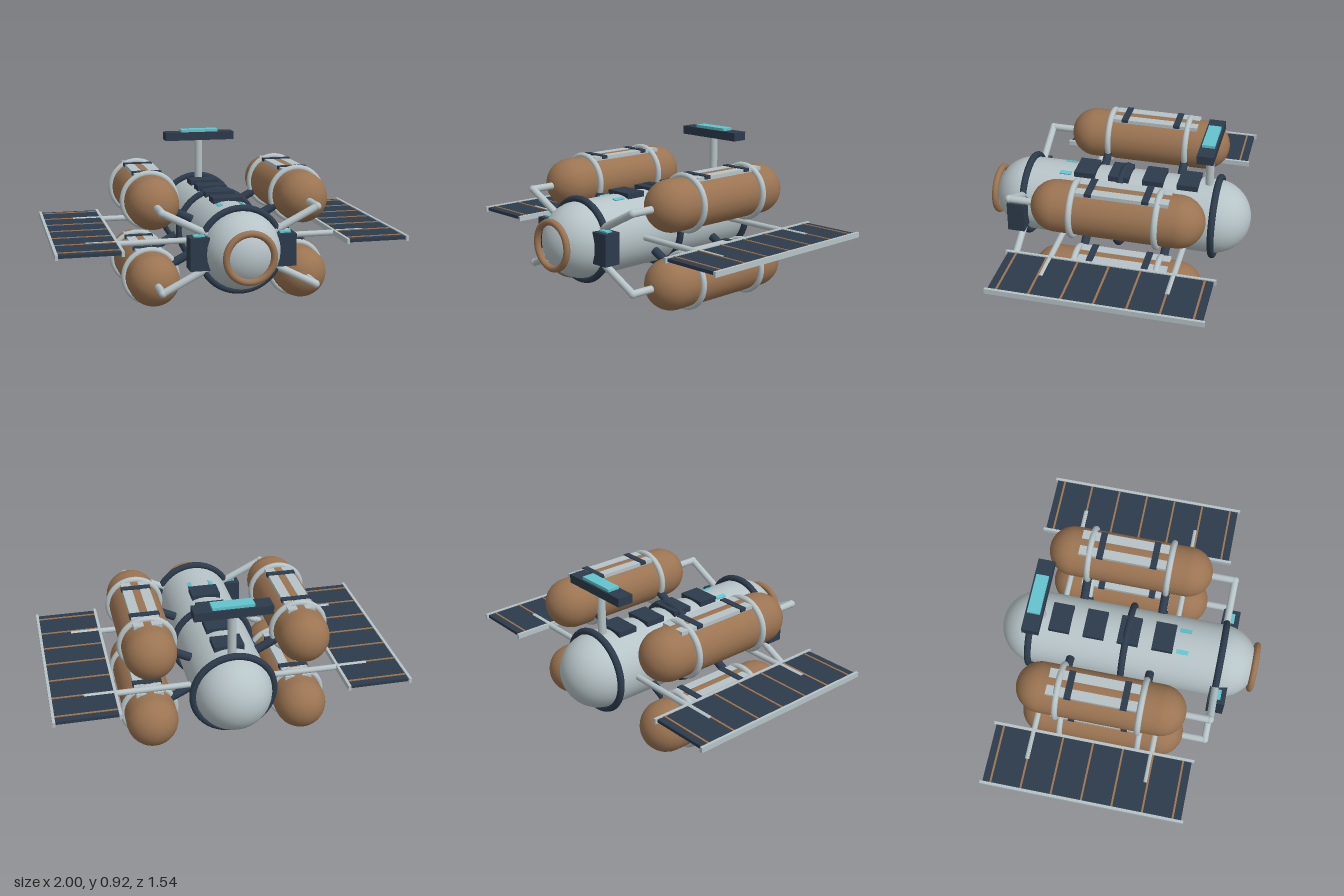
import * as THREE from 'three';

const mat = (name, color) => {
  const m = new THREE.MeshStandardMaterial({ color });
  m.name = name;
  return m;
};

export function createModel() {
  const shell = mat('paleShell', 0xb6c3c7);
  const bronze = mat('bronze', 0x9b7452);
  const navy = mat('navy', 0x2d3b4c);
  const cyan = mat('cyan', 0x62c4ce);
  const model = new THREE.Group();
  model.name = 'spaceStation';
  const V = (x, y, z) => new THREE.Vector3(x, y, z);

  const add = (parent, name, geo, material, x = 0, y = 0, z = 0) => {
    const mesh = new THREE.Mesh(geo, material);
    mesh.name = name;
    mesh.position.set(x, y, z);
    parent.add(mesh);
    return mesh;
  };
  const box = (parent, name, material, size, x, y, z) =>
    add(parent, name, new THREE.BoxGeometry(...size), material, x, y, z);
  const ring = (parent, name, material, radius, tube, x, y, z) =>
    add(parent, name, new THREE.TorusGeometry(radius, tube, 12, 48), material, x, y, z);
  const capsule = (parent, name, material, radius, length, x, y, z) =>
    add(parent, name, new THREE.CapsuleGeometry(radius, length - 2 * radius, 12, 32).rotateX(Math.PI / 2), material, x, y, z);
  // Straight rod between two points
  const rod = (parent, name, material, radius, a, b) => {
    const mesh = add(parent, name, new THREE.CylinderGeometry(radius, radius, a.distanceTo(b), 14), material);
    mesh.position.copy(a).lerp(b, 0.5);
    mesh.quaternion.setFromUnitVectors(V(0, 1, 0), b.clone().sub(a).normalize());
    return mesh;
  };

  // Central hull, collars and docking ring
  const CY = 0.4;
  capsule(model, 'hull', shell, 0.217, 1.534, 0, CY, 0);
  for (const z of [-0.568, -0.008, 0.55]) ring(model, 'hullCollar', navy, 0.229, 0.02, 0, CY, z);
  ring(model, 'dockingRing', bronze, 0.131, 0.019, 0, CY, 0.753);

  // Equipment hatches and small windows along the top
  for (const z of [-0.4, -0.197, 0.005, 0.208]) box(model, 'hatch', navy, [0.17, 0.04, 0.122], 0, 0.612, z);
  for (const x of [-0.066, 0.066]) {
    const window = box(model, 'window', cyan, [0.026, 0.009, 0.07], x, 0.607, 0.325);
    window.rotation.z = -Math.asin(x / 0.217);
  }

  // Antenna
  rod(model, 'antennaMast', shell, 0.024, V(0, 0.58, -0.515), V(0, 0.88, -0.515));
  box(model, 'antennaHead', navy, [0.434, 0.05, 0.095], 0, 0.89, -0.515);
  box(model, 'antennaPanel', cyan, [0.232, 0.018, 0.072], 0, 0.922, -0.515);

  for (const s of [-1, 1]) {
    // Side pods
    box(model, 'sidePod', navy, [0.108, 0.18, 0.1], s * 0.241, CY, 0.57);
    box(model, 'podLight', cyan, [0.06, 0.014, 0.038], s * 0.24, 0.492, 0.572);

    // Solar wing: panel, rails, ribs and booms
    const wing = new THREE.Group();
    wing.name = 'solarWing';
    model.add(wing);
    box(wing, 'solarPanel', navy, [0.35, 0.018, 1.152], s * 0.815, CY, -0.08);
    for (const x of [0.637, 0.992]) box(wing, 'wingRail', shell, [0.016, 0.03, 1.18], s * x, CY, -0.08);
    for (let i = 0; i < 7; i++) box(wing, 'panelRib', bronze, [0.345, 0.01, 0.011], s * 0.815, 0.408, -0.61 + i * 0.1762);
    for (const z of [-0.436, 0.258]) rod(wing, 'wingBoom', shell, 0.017, V(s * 0.18, 0.398, z), V(s * 0.81, 0.398, z));

    // Upper and lower tanks
    for (const y of [0.62, 0.178]) {
      const tank = new THREE.Group();
      tank.name = 'tankAssembly';
      model.add(tank);
      const x = s * 0.433;
      const at = (t, z) => V(x * t, CY + (y - CY) * t, z);
      capsule(tank, 'tank', bronze, 0.147, 0.98, x, y, -0.075);
      for (const z of [0.162, -0.312]) {
        ring(tank, 'tankBand', shell, 0.152, 0.018, x, y, z);
        rod(tank, 'tankStrut', navy, 0.025, at(0.4, z), at(0.76, z));
      }
      for (const o of [-0.05, 0.05]) box(tank, 'tankRail', shell, [0.056, 0.022, 0.515], x + o, y + 0.136, -0.115);
      for (const z of [0.07, -0.247]) box(tank, 'railClip', navy, [0.168, 0.02, 0.038], x, y + 0.142, z);

      // Feed pipe with elbow
      rod(tank, 'feedPipe', shell, 0.021, V(x, y, 0.38), V(x, y, 0.55));
      add(tank, 'pipeElbow', new THREE.SphereGeometry(0.023, 14, 10), shell, x, y, 0.55);
      rod(tank, 'feedPipe', shell, 0.021, at(1, 0.55), at(0.4, 0.55));
    }
  }
  return model;
}
